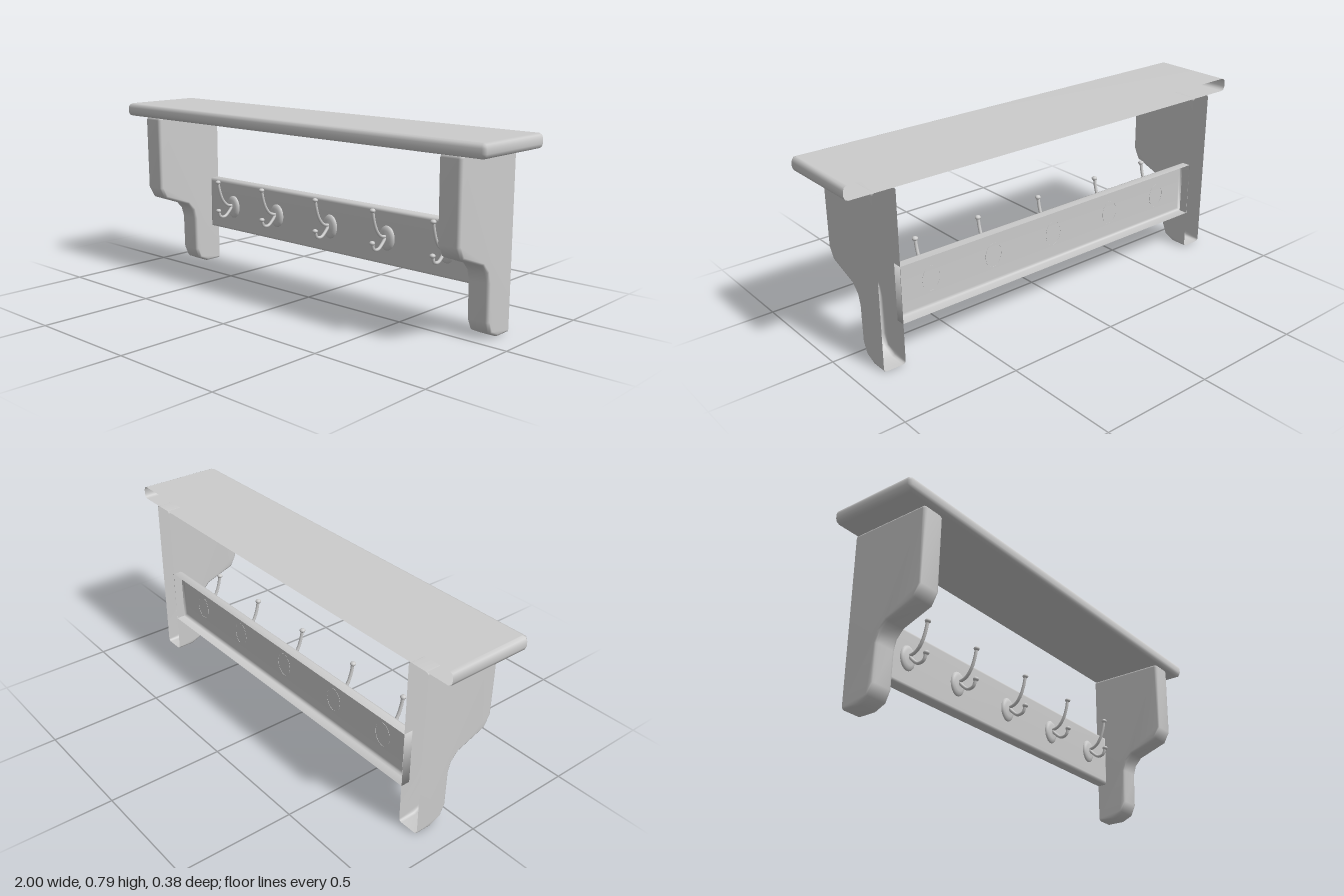
import * as THREE from 'three';
import { mergeVertices } from 'three/addons/utils/BufferGeometryUtils.js';

const BACK = -0.19;
const material = new THREE.MeshStandardMaterial({ color: 0xcccccc, side: THREE.DoubleSide });

function addMesh(parent, name, geometry) {
  const mesh = new THREE.Mesh(geometry, material);
  mesh.name = name;
  parent.add(mesh);
  return mesh;
}

// Extruded outline with rounded edges, centred on its thickness.
function roundedSlab(points, thickness, bevel, bevelDepth = bevel) {
  const shape = new THREE.Shape(points.map(([a, b]) => new THREE.Vector2(a, b)));
  const geometry = new THREE.ExtrudeGeometry(shape, {
    depth: thickness - 2 * bevelDepth,
    bevelSize: bevel,
    bevelOffset: -bevel,
    bevelThickness: bevelDepth,
    bevelSegments: 2
  });
  return geometry.translate(0, 0, -thickness / 2 + bevelDepth);
}

// Cuts a slab off at the wall plane, leaves it open there and smooths it.
function openBack(geometry) {
  let g = geometry.index ? geometry.toNonIndexed() : geometry;
  const p = g.attributes.position;
  const kept = [];
  for (let i = 0; i < p.count; i += 3) {
    const corners = [0, 1, 2].map(k =>
      [p.getX(i + k), p.getY(i + k), Math.max(p.getZ(i + k), BACK)]);
    if (corners.some(c => c[2] > BACK + 1e-4)) kept.push(...corners.flat());
  }
  g = new THREE.BufferGeometry();
  g.setAttribute('position', new THREE.Float32BufferAttribute(kept, 3));
  g = mergeVertices(g, 1e-4);
  g.computeVertexNormals();
  return g;
}

function tube(points, radius) {
  const curve = new THREE.CatmullRomCurve3(points.map(([z, y]) => new THREE.Vector3(0, y, z)));
  return new THREE.TubeGeometry(curve, 16, radius, 10);
}

// Oval plate with a tall upper prong and a short lower one.
function makeHook() {
  const hook = new THREE.Group();
  hook.name = 'coatHook';

  const profile = [[0.04, 0], [0.04, 0.005], [0.035, 0.011], [0.025, 0.015], [0, 0.017]];
  const plate = new THREE.LatheGeometry(profile.map(([r, h]) => new THREE.Vector2(r, h)), 24);
  plate.rotateX(Math.PI / 2).scale(1, 1.33, 1).translate(0, 0.293, -0.141);
  addMesh(hook, 'hookPlate', plate);

  addMesh(hook, 'upperProng',
    tube([[-0.13, 0.30], [-0.095, 0.31], [-0.068, 0.34], [-0.05, 0.385], [-0.042, 0.424]], 0.007));
  addMesh(hook, 'lowerProng',
    tube([[-0.13, 0.30], [-0.108, 0.275], [-0.08, 0.255], [-0.053, 0.26], [-0.042, 0.286]], 0.007));

  for (const [name, y] of [['upperKnob', 0.425], ['lowerKnob', 0.288]]) {
    const knob = addMesh(hook, name, new THREE.SphereGeometry(0.0125, 14, 10));
    knob.scale.y = 0.75;
    knob.position.set(0, y, -0.041);
  }
  return hook;
}

export function createModel() {
  const model = new THREE.Group();
  model.name = 'wallShelfWithHooks';

  // Top shelf, rounded at the front and both ends
  const shelfOutline = [
    [-1, -0.25], [1, -0.25], [1, 0.178], [0.986, 0.192], [-0.986, 0.192], [-1, 0.178]
  ];
  const shelf = roundedSlab(shelfOutline, 0.058, 0.018, 0.019);
  shelf.rotateX(Math.PI / 2).translate(0, 0.762, 0);
  addMesh(model, 'shelf', openBack(shelf));

  // Stepped side brackets, outline in z and y
  const bracketOutline = [
    [-0.25, 0], [-0.115, 0], [-0.065, 0.022], [-0.043, 0.07], [-0.04, 0.225],
    [-0.028, 0.268], [0.003, 0.302], [0.137, 0.35], [0.165, 0.4], [0.168, 0.722],
    [0.158, 0.734], [-0.25, 0.734]
  ];
  for (const side of [-1, 1]) {
    const bracket = roundedSlab(bracketOutline, 0.097, 0.011, 0.013);
    bracket.rotateY(-Math.PI / 2).translate(side * 0.84, 0, 0);
    addMesh(model, side > 0 ? 'leftBracket' : 'rightBracket', openBack(bracket));
  }

  // Rail between the brackets
  const railOutline = [[-0.793, 0.174], [0.793, 0.174], [0.793, 0.415], [-0.793, 0.415]];
  const rail = roundedSlab(railOutline, 0.16, 0.013);
  rail.translate(0, 0, -0.14 - 0.08);
  addMesh(model, 'hookRail', openBack(rail));

  // Row of hooks
  for (const x of [-0.625, -0.33, 0, 0.32, 0.625]) {
    const hook = makeHook();
    hook.position.x = x;
    model.add(hook);
  }
  return model;
}
